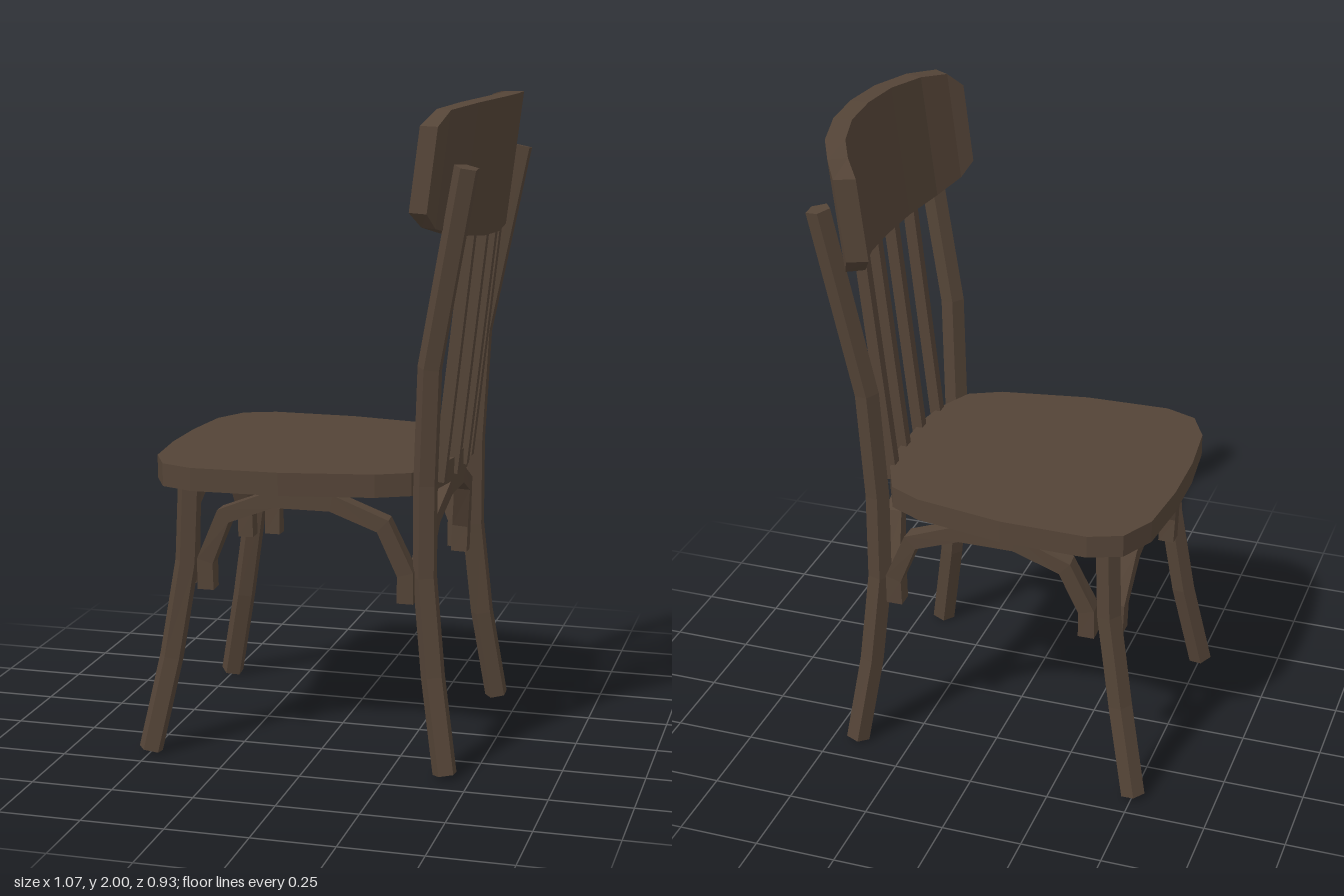
import * as THREE from 'three';

// Skin a list of equal-length rings (counter-clockwise around the direction of travel), capped at both ends
function loft(rings) {
  const pos = [];
  const tri = (...pts) => pts.forEach(p => pos.push(p.x, p.y, p.z));
  const n = rings[0].length;
  for (let k = 0; k < rings.length - 1; k++) {
    const a = rings[k], b = rings[k + 1];
    for (let i = 0; i < n; i++) {
      const j = (i + 1) % n;
      tri(a[i], a[j], b[j]);
      tri(a[i], b[j], b[i]);
    }
  }
  const first = rings[0], last = rings[rings.length - 1];
  for (let i = 1; i < n - 1; i++) {
    tri(first[0], first[i + 1], first[i]);
    tri(last[0], last[i], last[i + 1]);
  }
  const g = new THREE.BufferGeometry();
  g.setAttribute('position', new THREE.Float32BufferAttribute(pos, 3));
  g.computeVertexNormals();
  return g;
}

// Faceted rod along a bent path; side sets the direction of the first vertex
function rod(path, radius, sides, side, turn = 0) {
  const pts = path.map(p => new THREE.Vector3(...p));
  return loft(pts.map((p, k) => {
    const before = pts[Math.max(k - 1, 0)], after = pts[Math.min(k + 1, pts.length - 1)];
    const t = after.clone().sub(before).normalize();
    const u = side.clone().addScaledVector(t, -side.dot(t)).normalize();
    const v = t.clone().cross(u);
    return Array.from({ length: sides }, (_, i) => {
      const a = turn + i / sides * Math.PI * 2;
      return p.clone().addScaledVector(u, Math.cos(a) * radius).addScaledVector(v, Math.sin(a) * radius);
    });
  }));
}

export function createModel() {
  const chair = new THREE.Group();
  chair.name = 'chair';
  const wood = new THREE.MeshStandardMaterial({ color: 0x544437, flatShading: true });
  wood.name = 'dark brown wood';
  const add = (name, geometry) => {
    const mesh = new THREE.Mesh(geometry, wood);
    mesh.name = name;
    chair.add(mesh);
  };
  const X = new THREE.Vector3(1, 0, 0), Z = new THREE.Vector3(0, 0, 1);

  // Seat: rounded slab, narrower at the back
  const half = [[-0.524, 0.1], [-0.505, 0.295], [-0.45, 0.405], [-0.35, 0.445], [-0.08, 0.44],
    [0.2, 0.39], [0.3, 0.34], [0.355, 0.22], [0.375, 0.1]];
  const outline = [...half, ...half.map(([x, z]) => [x, -z]).reverse()];
  const seat = new THREE.ExtrudeGeometry(new THREE.Shape(outline.map(p => new THREE.Vector2(...p))),
    { depth: 0.07, bevelEnabled: false });
  seat.rotateX(-Math.PI / 2).translate(0, 0.84, 0);
  add('seat', seat);

  // Splayed front legs, and back legs running up into the posts
  for (const s of [1, -1]) {
    const name = s > 0 ? 'PlusZ' : 'MinusZ';
    add('frontLeg' + name, rod([[-0.5, 0.01, 0.41 * s], [-0.442, 0.3, 0.37 * s],
      [-0.395, 0.6, 0.35 * s], [-0.385, 0.85, 0.345 * s]], 0.038, 5, X, Math.PI / 5));
    add('backPost' + name, rod([[0.42, 0.01, 0.393 * s], [0.375, 0.3, 0.362 * s], [0.345, 0.6, 0.347 * s],
      [0.345, 0.88, 0.347 * s], [0.36, 1.23, 0.367 * s], [0.472, 1.815, 0.413 * s]], 0.038, 5, X, Math.PI / 5));
  }

  // Arched braces under the seat: [distance along, height, outward bow]
  const rise = [[0.31, 0.52, 0], [0.31, 0.61, 0.003], [0.245, 0.757, 0.02], [0.09, 0.818, 0.028]];
  const arch = [...rise, ...rise.map(([a, y, b]) => [-a, y, b]).reverse()];
  for (const s of [1, -1]) {
    add('sideBrace', rod(arch.map(([a, y, b]) => [a - 0.02, y, (0.348 + b) * s]), 0.036, 4, Z, Math.PI / 4));
  }
  const across = arch.map(([a, y, b]) => [a * 0.94, y, b]);
  add('frontBrace', rod(across.map(([a, y, b]) => [-0.404 - b, y, a]), 0.036, 4, X, Math.PI / 4));
  add('backBrace', rod(across.map(([a, y, b]) => [0.315 + b, y, a]), 0.036, 4, X, Math.PI / 4));

  // Back spindles, leaning rearward
  for (const [z, dx] of [[0.207, -0.012], [0.077, 0], [-0.06, 0], [-0.19, -0.012]]) {
    add('spindle', rod([[0.367 + dx, 0.86, z], [0.453 + dx, 1.63, z]], 0.025, 4, X, Math.PI / 4));
  }

  // Curved back panel: [outer z, outer x, inner z, inner x, top, bottom]
  const panel = [[0, 0.537, 0, 0.479, 2, 1.59], [0.16, 0.525, 0.155, 0.468, 1.998, 1.595],
    [0.32, 0.485, 0.3, 0.43, 1.99, 1.61], [0.432, 0.432, 0.4, 0.383, 1.975, 1.64],
    [0.467, 0.408, 0.44, 0.35, 1.93, 1.685]];
  const stations = [...panel.slice(1).reverse().map(([oz, ox, iz, ix, t, b]) => [-oz, ox, -iz, ix, t, b]), ...panel];
  const lean = (x, y, z) => new THREE.Vector3(x + 0.125 * (y - 2), y, z);
  add('backPanel', loft(stations.map(([oz, ox, iz, ix, t, b]) =>
    [lean(ix, b, iz), lean(ox, b, oz), lean(ox, t, oz), lean(ix, t, iz)])));

  return chair;
}
